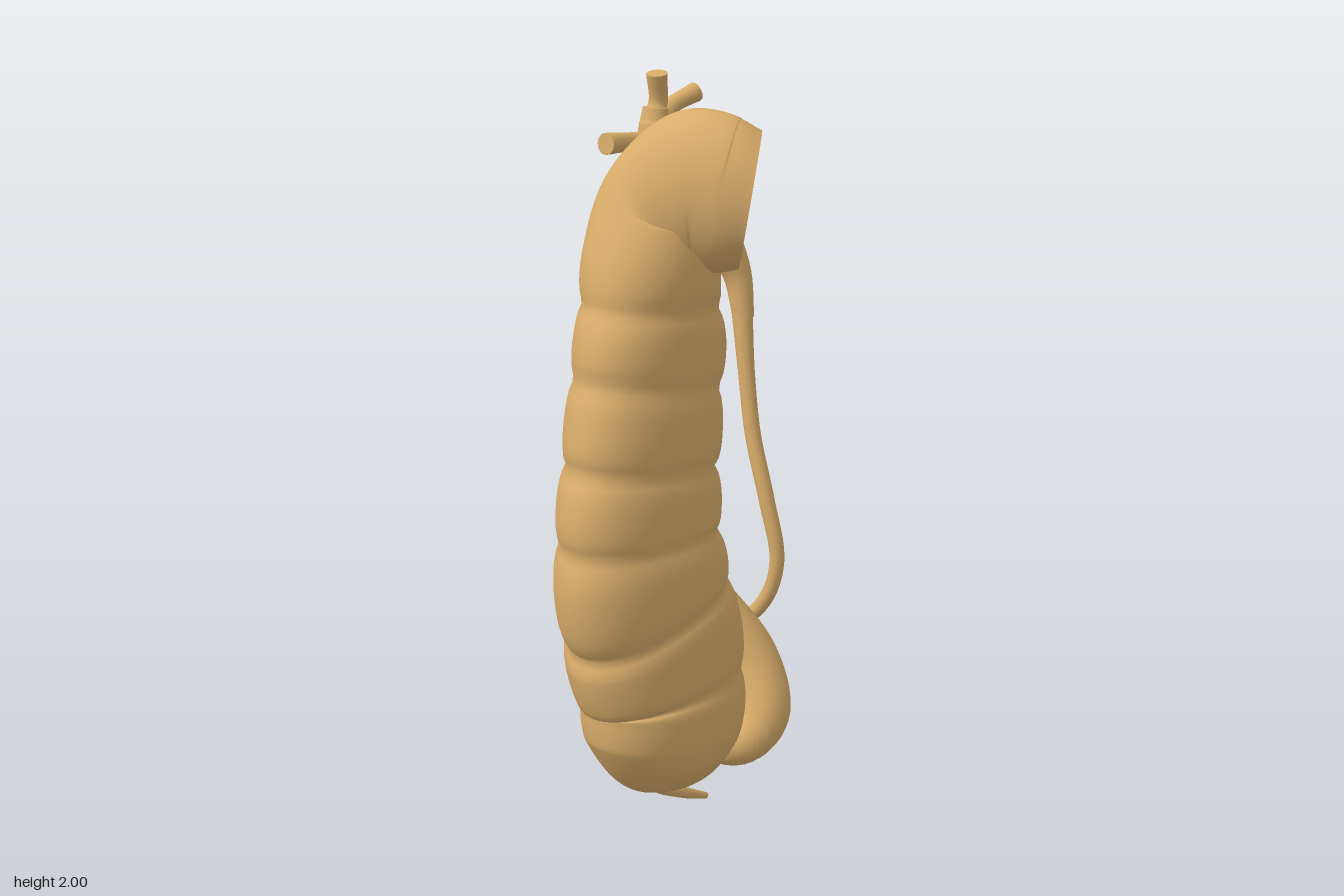
import * as THREE from 'three';

const V = (x, y, z) => new THREE.Vector3(x, y, z);

// Tube through keys [x, y, z, ra, rb]; ra lies along ref, rb across it.
// Ends are either rounded or cut flat; shape(point, angle) may scale the radius.
function organTube(keys, { ref = V(1, 0, 0), rows = 40, sides = 14, round = [false, false], shape = () => 1 } = {}) {
  const path = new THREE.CatmullRomCurve3(keys.map(k => V(k[0], k[1], k[2])));
  const radii = new THREE.CatmullRomCurve3(keys.map(k => V(k[3], k[4] ?? k[3], 0)), false, 'catmullrom', 0.5);
  const ts = [], pts = [], dist = [0];
  for (let i = 0; i <= rows; i++) {
    const u = i / rows;
    const t = round[0] || round[1] ? (1 - Math.cos(Math.PI * u)) / 2 : u;
    ts.push(t);
    pts.push(path.getPoint(t));
    if (i) dist.push(dist[i - 1] + pts[i].distanceTo(pts[i - 1]));
  }
  const total = dist[rows];
  const dome = (s, r) => (s >= r ? 1 : Math.sqrt(Math.max(0, 1 - (1 - s / r) ** 2)));
  const pos = [], idx = [], rings = [];
  for (let i = 0; i <= rows; i++) {
    const c = pts[i], t = path.getTangent(ts[i]), r = radii.getPoint(ts[i]);
    const a = ref.clone().addScaledVector(t, -ref.dot(t)).normalize();
    const b = t.clone().cross(a);
    const m = Math.min(r.x, r.y);
    let k = 1;
    if (round[0]) k *= dome(dist[i], m);
    if (round[1]) k *= dome(total - dist[i], m);
    k = Math.max(k, 0.002);
    const ring = [];
    for (let j = 0; j < sides; j++) {
      const w = (j / sides) * Math.PI * 2;
      const off = a.clone().multiplyScalar(r.x * k * Math.cos(w)).addScaledVector(b, r.y * k * Math.sin(w));
      const p = off.clone().add(c);
      p.copy(c).addScaledVector(off, shape(p, w));
      ring.push(p);
      pos.push(p.x, p.y, p.z);
    }
    rings.push(ring);
  }
  for (let i = 0; i < rows; i++) {
    for (let j = 0; j < sides; j++) {
      const n = (j + 1) % sides, A = i * sides, B = A + sides;
      idx.push(A + j, A + n, B + j, A + n, B + n, B + j);
    }
  }
  // end caps with their own vertices, so that cut ends keep a sharp rim
  [[0, 0], [1, rows]].forEach(([end, row]) => {
    const base = pos.length / 3;
    for (const p of [pts[row], ...rings[row]]) pos.push(p.x, p.y, p.z);
    for (let j = 0; j < sides; j++) {
      const p = base + 1 + j, q = base + 1 + ((j + 1) % sides);
      if (end) idx.push(base, p, q); else idx.push(base, q, p);
    }
  });
  const g = new THREE.BufferGeometry();
  g.setAttribute('position', new THREE.Float32BufferAttribute(pos, 3));
  g.setIndex(idx);
  g.computeVertexNormals();
  return g;
}

export function createModel() {
  const model = new THREE.Group();
  const tissue = new THREE.MeshStandardMaterial({ color: 0xd8ac6a });
  tissue.name = 'tan tissue';
  const add = (name, keys, opts, parent = model) => {
    const mesh = new THREE.Mesh(organTube(keys, opts), tissue);
    mesh.name = name;
    parent.add(mesh);
  };

  // Large bowel: creases [height, slope across x] divide it into pouches,
  // and its section is a soft triangle below the bend
  const creases = [[0.71, 0.4], [0.91, 0.1], [1.08, 0.04], [1.235, 0], [1.41, -0.02], [1.575, -0.04]];
  const pouches = (p, w) => {
    let k = 1.025;
    for (const [y, s] of creases) k -= 0.1 * Math.exp(-Math.abs(p.y - y - s * (p.x + 0.2)) / 0.025);
    const corner = 1 - THREE.MathUtils.smoothstep(p.y, 1.5, 1.7);
    return k * (1 + 0.075 * corner * Math.cos(3 * (w + Math.PI / 4)));
  };
  add('largeBowel', [
    [-0.265, 0.47, 0.125, 0.15, 0.14],
    [-0.225, 0.58, 0.12, 0.19, 0.16],
    [-0.195, 0.7, 0.11, 0.213, 0.173],
    [-0.22, 0.85, 0.095, 0.222, 0.173],
    [-0.25, 1.0, 0.09, 0.213, 0.168],
    [-0.245, 1.15, 0.085, 0.203, 0.158],
    [-0.22, 1.33, 0.08, 0.188, 0.153],
    [-0.19, 1.5, 0.075, 0.178, 0.148],
    [-0.17, 1.65, 0.075, 0.157, 0.137],
    [-0.14, 1.765, 0.08, 0.125, 0.133],
    [-0.125, 1.815, 0.16, 0.108, 0.16],
    [-0.1, 1.805, 0.215, 0.118, 0.158],
    [-0.072, 1.797, 0.258, 0.122, 0.14],
  ], { rows: 180, sides: 42, round: [true, false], shape: pouches });

  // Curled pouch beside the bowel's base
  add('appendix', [
    [-0.02, 0.93, 0.05, 0.04],
    [0.03, 0.82, 0.1, 0.06],
    [0.06, 0.69, 0.18, 0.073],
    [0.03, 0.585, 0.235, 0.072],
    [-0.03, 0.535, 0.235, 0.055],
    [-0.11, 0.53, 0.19, 0.035],
  ], { rows: 50, sides: 20, round: [true, true] });

  // Small bowel leaving to the left
  add('smallBowel', [
    [-0.1, 0.55, 0.08, 0.035],
    [0.05, 0.555, 0.045, 0.037],
    [0.12, 0.525, 0.05, 0.035],
    [0.2, 0.48, 0.035, 0.034],
    [0.25, 0.48, -0.02, 0.034],
    [0.32, 0.495, -0.095, 0.032],
    [0.395, 0.48, -0.15, 0.03],
  ], { ref: V(0, 1, 0), rows: 50, round: [false, true] });

  // Small free body behind
  add('gland', [
    [0.005, 0.56, -0.213, 0.035, 0.026],
    [-0.02, 0.66, -0.235, 0.042, 0.035],
    [-0.05, 0.76, -0.262, 0.032, 0.025],
  ], { rows: 24, round: [true, true] });

  // Funnel and long duct
  const duct = new THREE.Group();
  duct.name = 'kidneyDuct';
  model.add(duct);
  add('funnel', [
    [0.14, 1.92, -0.145, 0.026, 0.03],
    [0.135, 1.84, -0.145, 0.037, 0.042],
    [0.165, 1.755, -0.14, 0.058, 0.05],
    [0.225, 1.69, -0.115, 0.068, 0.05],
    [0.285, 1.62, -0.083, 0.058, 0.047],
    [0.317, 1.53, -0.045, 0.033, 0.036],
    [0.315, 1.42, -0.02, 0.025, 0.025],
  ], { rows: 40, sides: 18 }, duct);
  add('duct', [
    [0.315, 1.44, -0.025, 0.025],
    [0.3, 1.3, 0.0, 0.02],
    [0.288, 1.15, 0.03, 0.019],
    [0.283, 1.0, 0.075, 0.019],
    [0.285, 0.85, 0.108, 0.018],
    [0.28, 0.75, 0.085, 0.018],
    [0.273, 0.67, 0.02, 0.017],
    [0.265, 0.6, -0.1, 0.017],
    [0.255, 0.54, -0.22, 0.017],
    [0.245, 0.46, -0.3, 0.018],
    [0.238, 0.34, -0.325, 0.018],
    [0.24, 0.2, -0.31, 0.018],
    [0.29, 0.11, -0.275, 0.017],
    [0.38, 0.055, -0.245, 0.016],
    [0.472, 0.008, -0.23, 0.009],
  ], { rows: 100 }, duct);

  // Branches: start, bend, tip and radius
  const branches = [
    [[0.14, 1.88, -0.145], [0.15, 1.93, -0.145], [0.138, 1.995, -0.14], 0.024],
    [[0.14, 1.88, -0.145], [0.18, 1.92, -0.13], [0.245, 1.945, -0.11], 0.022],
    [[0.15, 1.83, -0.145], [0.08, 1.85, -0.155], [-0.02, 1.86, -0.16], 0.024],
    [[0.19, 1.73, -0.13], [0.09, 1.69, -0.13], [-0.025, 1.68, -0.115], 0.024],
    [[0.22, 1.67, -0.11], [0.14, 1.6, -0.115], [0.11, 1.52, -0.11], 0.03],
    [[0.12, 1.54, -0.11], [0.07, 1.525, -0.11], [-0.02, 1.52, -0.105], 0.024],
    [[0.11, 1.54, -0.11], [0.085, 1.49, -0.1], [0.055, 1.41, -0.085], 0.023],
    [[0.11, 1.54, -0.11], [0.13, 1.49, -0.105], [0.16, 1.44, -0.095], 0.022],
  ];
  for (const [a, b, c, r] of branches) {
    add('branch', [[...a, r * 1.6], [...b, r * 0.92], [...c, r]], { ref: V(0, 0, 1), rows: 14, sides: 12 }, duct);
  }
  return model;
}
